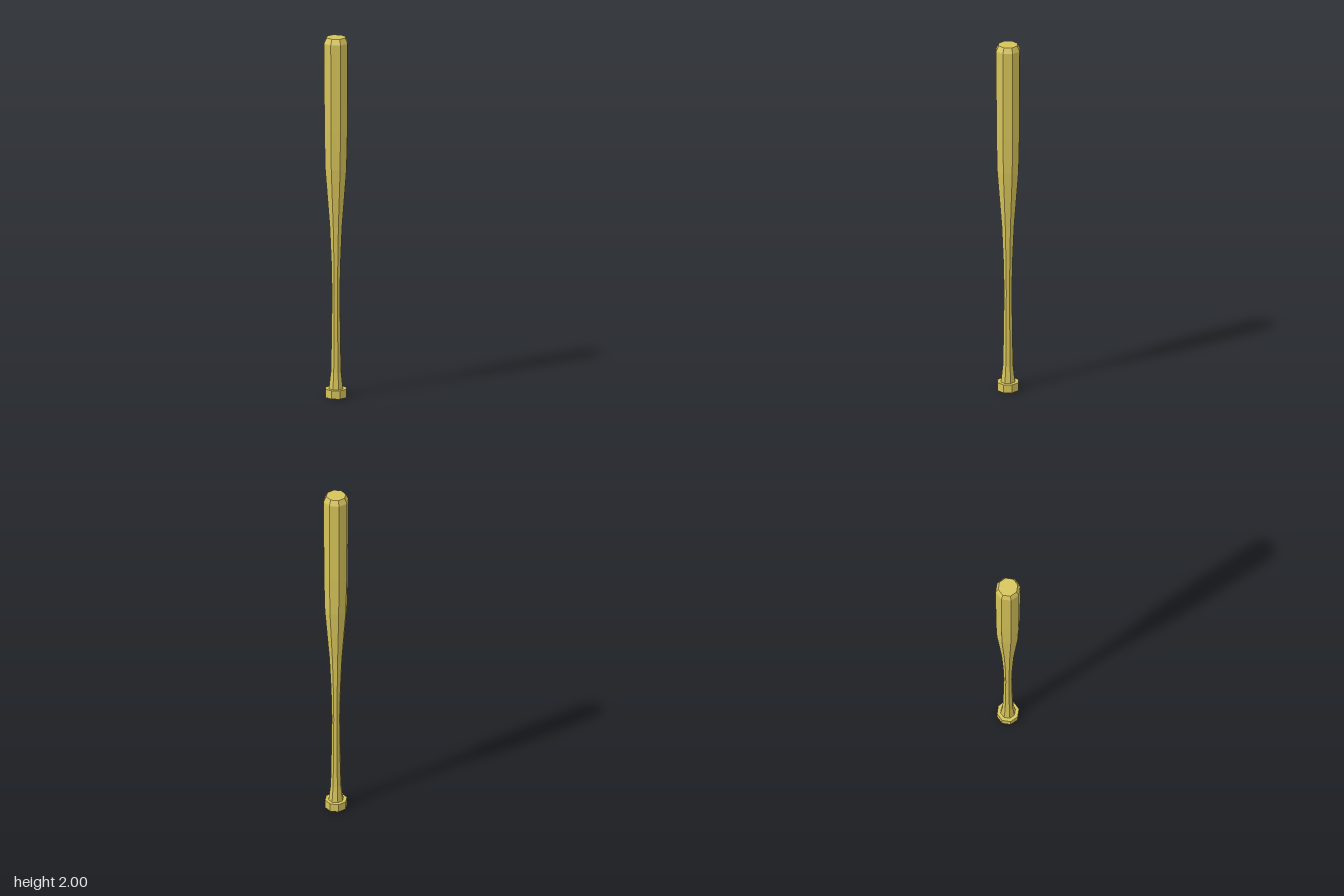
import * as THREE from 'three';

const SIDES = 8;

// Revolve a [radius, height] profile, listed bottom to top, into a faceted solid
function turned(name, profile, material) {
  const points = profile.map(([r, y]) => new THREE.Vector2(r, y));
  const mesh = new THREE.Mesh(new THREE.LatheGeometry(points, SIDES), material);
  mesh.name = name;
  return mesh;
}

export function createModel() {
  const wood = new THREE.MeshStandardMaterial({ color: 0xd6c35a, flatShading: true });
  wood.name = 'paleWood';

  const bat = new THREE.Group();
  bat.name = 'bat';

  // Flat disc at the end of the grip
  bat.add(turned('knob', [[0, 0], [0.061, 0], [0.061, 0.047], [0, 0.047]], wood));

  // Slim grip, flared at the knob
  bat.add(turned('handle', [
    [0.041, 0.047], [0.03, 0.14], [0.027, 0.28], [0.023, 0.57], [0.027, 0.75],
  ], wood));

  // Taper widening into the barrel, with a chamfered tip
  bat.add(turned('barrel', [
    [0.027, 0.75], [0.036, 0.95], [0.062, 1.27], [0.067, 1.48],
    [0.069, 1.97], [0.054, 2], [0, 2],
  ], wood));

  return bat;
}
